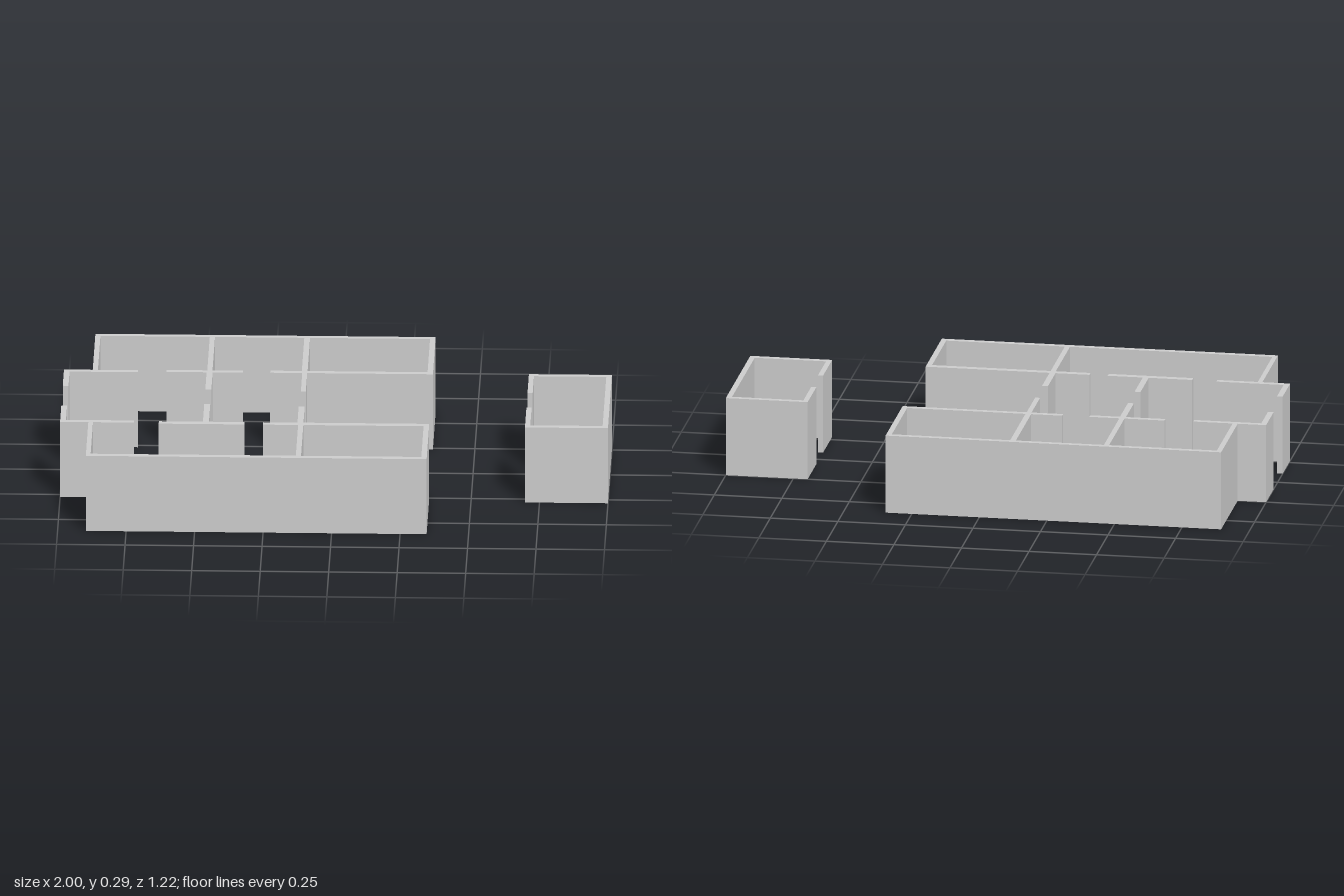
import * as THREE from 'three';

const HEIGHT = 0.294;

// Each wall: name, x from, x to, z from, z to (ends butt against their neighbours)
const backRooms = [
  ['backOuterWall', -0.895, 0.347, -0.612, -0.592],
  ['backLeftSideWall', -0.895, -0.876, -0.592, -0.251],
  ['backRightSideWall', 0.327, 0.347, -0.592, -0.26],
  ['backEntryWall', -1, -0.73, -0.251, -0.231],
  ['backEntryReturn', -1, -0.979, -0.231, -0.088],
  ['backCorridorWallShort', -0.625, -0.347, -0.257, -0.237],
  ['backCorridorWallLong', -0.247, 0.347, -0.26, -0.239],
  ['backPartitionRoomA', -0.477, -0.458, -0.592, -0.257],
  ['backPartitionStubA', -0.479, -0.457, -0.237, -0.064],
  ['backPartitionRoomB', -0.132, -0.111, -0.592, -0.26],
  ['backPartitionStubB', -0.13, -0.112, -0.239, -0.054],
];
const frontRooms = [
  ['frontOuterWall', -0.897, 0.347, 0.59, 0.612],
  ['frontLeftSideWall', -0.897, -0.88, 0.274, 0.59],
  ['frontRightSideWall', 0.327, 0.347, 0.282, 0.59],
  ['frontEntryWall', -1, -0.73, 0.253, 0.274],
  ['frontEntryReturn', -1, -0.979, 0.11, 0.253],
  ['frontCorridorWallShort', -0.64, -0.327, 0.258, 0.282],
  ['frontCorridorWallLong', -0.26, 0.347, 0.258, 0.282],
  ['frontPartitionStubA', -0.479, -0.457, 0.079, 0.258],
  ['frontPartitionStubB', -0.134, -0.112, 0.095, 0.258],
  ['frontPartitionRoomB', -0.131, -0.112, 0.282, 0.59],
];
const endRoom = [
  ['endRoomBackWall', 0.697, 1, -0.25, -0.23],
  ['endRoomFrontWall', 0.697, 1, 0.262, 0.284],
  ['endRoomOuterWall', 0.98, 1, -0.23, 0.262],
  ['endRoomDoorWallBack', 0.697, 0.716, -0.23, -0.06],
  ['endRoomDoorWallFront', 0.697, 0.716, 0.085, 0.262],
];

export function createModel() {
  const material = new THREE.MeshStandardMaterial({ color: 0xcccccc });
  const model = new THREE.Group();
  model.name = 'floorPlanWalls';

  for (const [groupName, walls] of Object.entries({ backRooms, frontRooms, endRoom })) {
    const group = new THREE.Group();
    group.name = groupName;
    for (const [name, x0, x1, z0, z1] of walls) {
      const wall = new THREE.Mesh(new THREE.BoxGeometry(x1 - x0, HEIGHT, z1 - z0), material);
      wall.name = name;
      wall.position.set((x0 + x1) / 2, HEIGHT / 2, (z0 + z1) / 2);
      group.add(wall);
    }
    model.add(group);
  }
  return model;
}
